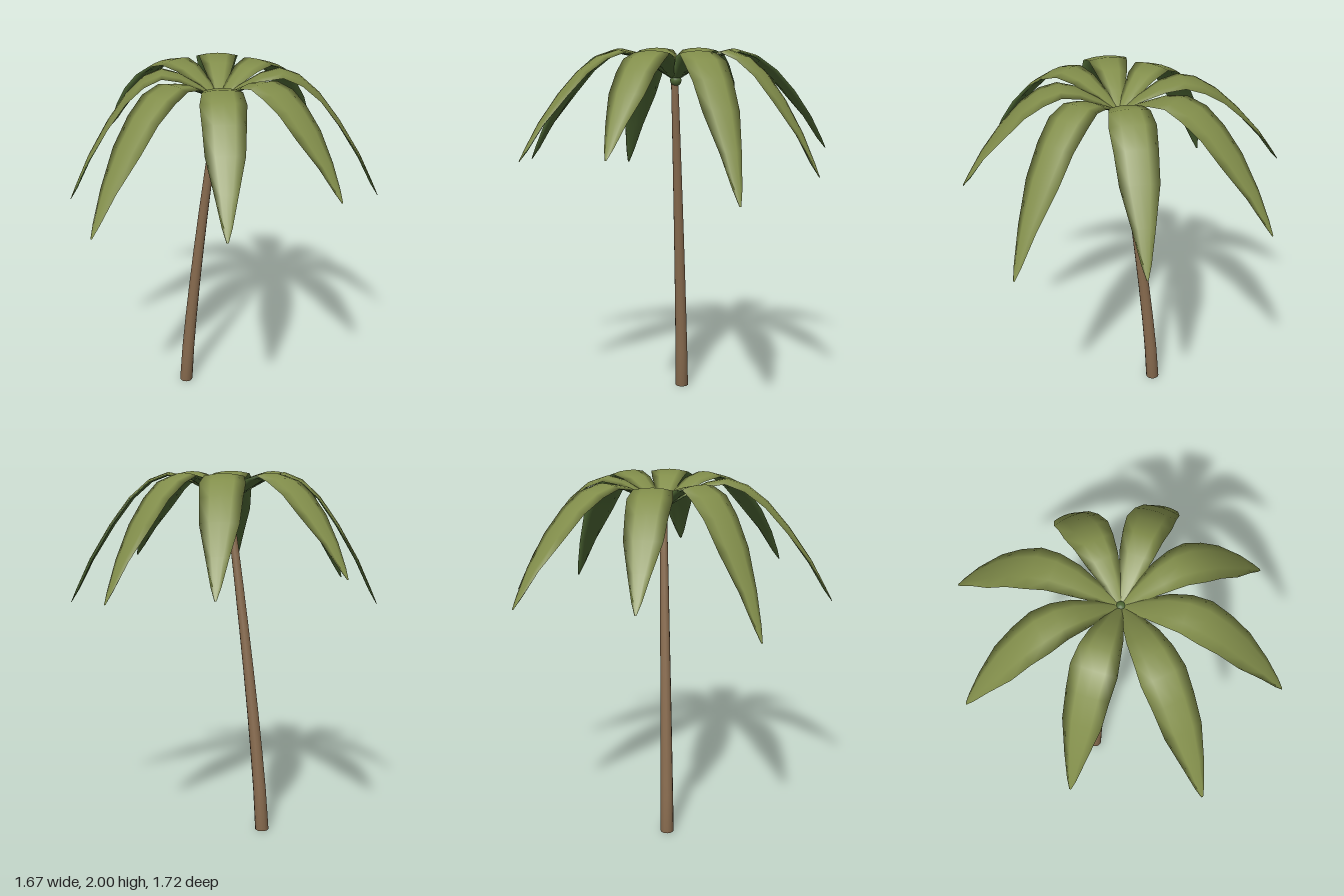
import * as THREE from 'three';
import { mergeVertices } from 'three/addons/utils/BufferGeometryUtils.js';

const material = (name, color) => new THREE.MeshStandardMaterial({ name, color });
const CENTER = new THREE.Vector3(0.02, 1.83, -0.055);
const PEAK = 1.998;

// Frond stations: [fraction of length, half width, rise from crown to peak, share of the droop]
const STATIONS = [
  [0, 0.02, 0.05, 0], [0.12, 0.05, 0.5, 0], [0.25, 0.085, 0.86, 0], [0.37, 0.103, 1, 0],
  [0.49, 0.117, 1, 0.055], [0.61, 0.109, 1, 0.185], [0.735, 0.099, 1, 0.39], [0.87, 0.058, 1, 0.66],
  [0.96, 0.026, 1, 0.89], [1, 0.005, 1, 1],
];

// Frond tips: x, y, z
const TIPS = [
  [-0.47, 1.425, -0.845], [0.21, 1.35, -0.86], [0.77, 1.28, -0.525], [0.83, 1.49, 0.12],
  [0.495, 1.425, 0.685], [-0.18, 1.35, 0.855], [-0.67, 1.28, 0.39], [-0.835, 1.49, -0.245],
];

// Thin, slightly arched leaf lofted from cross-sections: upper side is group 0, underside group 1
function frondGeometry([tx, ty, tz]) {
  const dir = new THREE.Vector3(tx - CENTER.x, 0, tz - CENTER.z);
  const length = dir.length();
  dir.normalize();
  const side = new THREE.Vector3().crossVectors(dir, new THREE.Vector3(0, 1, 0));
  const spine = STATIONS.map(([u, , rise, drop]) => new THREE.Vector2(
    u * length, CENTER.y + rise * (PEAK - CENTER.y) - drop * (PEAK - ty)));
  const section = [-1, -0.5, 0, 0.5, 1, 0.5, 0, -0.5];
  const n = section.length;
  const positions = [];
  spine.forEach((p, i) => {
    const before = spine[Math.max(i - 1, 0)];
    const after = spine[Math.min(i + 1, spine.length - 1)];
    const tangent = after.clone().sub(before).normalize();
    const half = STATIONS[i][1];
    section.forEach((v, j) => {
      const thickness = j > 4 ? Math.min(0.016, half * 0.5) : 0;
      const lift = -0.13 * half * v * v - thickness;
      const r = p.x - tangent.y * lift;
      positions.push(
        CENTER.x + dir.x * r + side.x * v * half,
        p.y + tangent.x * lift,
        CENTER.z + dir.z * r + side.z * v * half);
    });
  });

  const upper = [], under = [];
  for (let i = 0; i < spine.length - 1; i++) {
    for (let j = 0; j < n; j++) {
      const a = i * n + j, b = i * n + (j + 1) % n;
      (j < 4 ? upper : under).push(a, b, a + n, b, b + n, a + n);
    }
  }
  const geometry = new THREE.BufferGeometry();
  geometry.setAttribute('position', new THREE.Float32BufferAttribute(positions, 3));
  geometry.setIndex([...upper, ...under]);
  geometry.addGroup(0, upper.length, 0);
  geometry.addGroup(upper.length, under.length, 1);
  geometry.computeVertexNormals();
  return geometry;
}

// Tapered cylinder bent sideways, steeper towards the base
function trunkGeometry() {
  const height = 1.83;
  let geometry = new THREE.CylinderGeometry(0.02, 0.038, height, 12, 8);
  geometry.translate(0, height / 2, 0);
  const pos = geometry.attributes.position;
  for (let i = 0; i < pos.count; i++) {
    const y = Math.max(pos.getY(i), 0);
    const lean = -0.205 + 0.225 * Math.pow(y / height, 1.25);
    pos.setXYZ(i, pos.getX(i) + lean, y, pos.getZ(i) - 0.049);
  }
  geometry.deleteAttribute('uv');
  geometry.deleteAttribute('normal');
  geometry = mergeVertices(geometry);
  geometry.computeVertexNormals();
  return geometry;
}

export function createModel() {
  const bark = material('bark brown', 0x8a6d50);
  const leafTop = material('leaf olive', 0x828e4b);
  const leafUnder = material('leaf dark green', 0x506a36);
  const model = new THREE.Group();
  model.name = 'palmTree';

  const trunk = new THREE.Mesh(trunkGeometry(), bark);
  trunk.name = 'trunk';

  // Bud where the fronds meet
  const bud = new THREE.Mesh(new THREE.SphereGeometry(0.032, 12, 8), leafUnder);
  bud.name = 'crownBud';
  bud.position.copy(CENTER);

  const fronds = new THREE.Group();
  fronds.name = 'fronds';
  TIPS.forEach((tip, i) => {
    const frond = new THREE.Mesh(frondGeometry(tip), [leafTop, leafUnder]);
    frond.name = `frond${i + 1}`;
    fronds.add(frond);
  });

  model.add(trunk, bud, fronds);
  return model;
}
